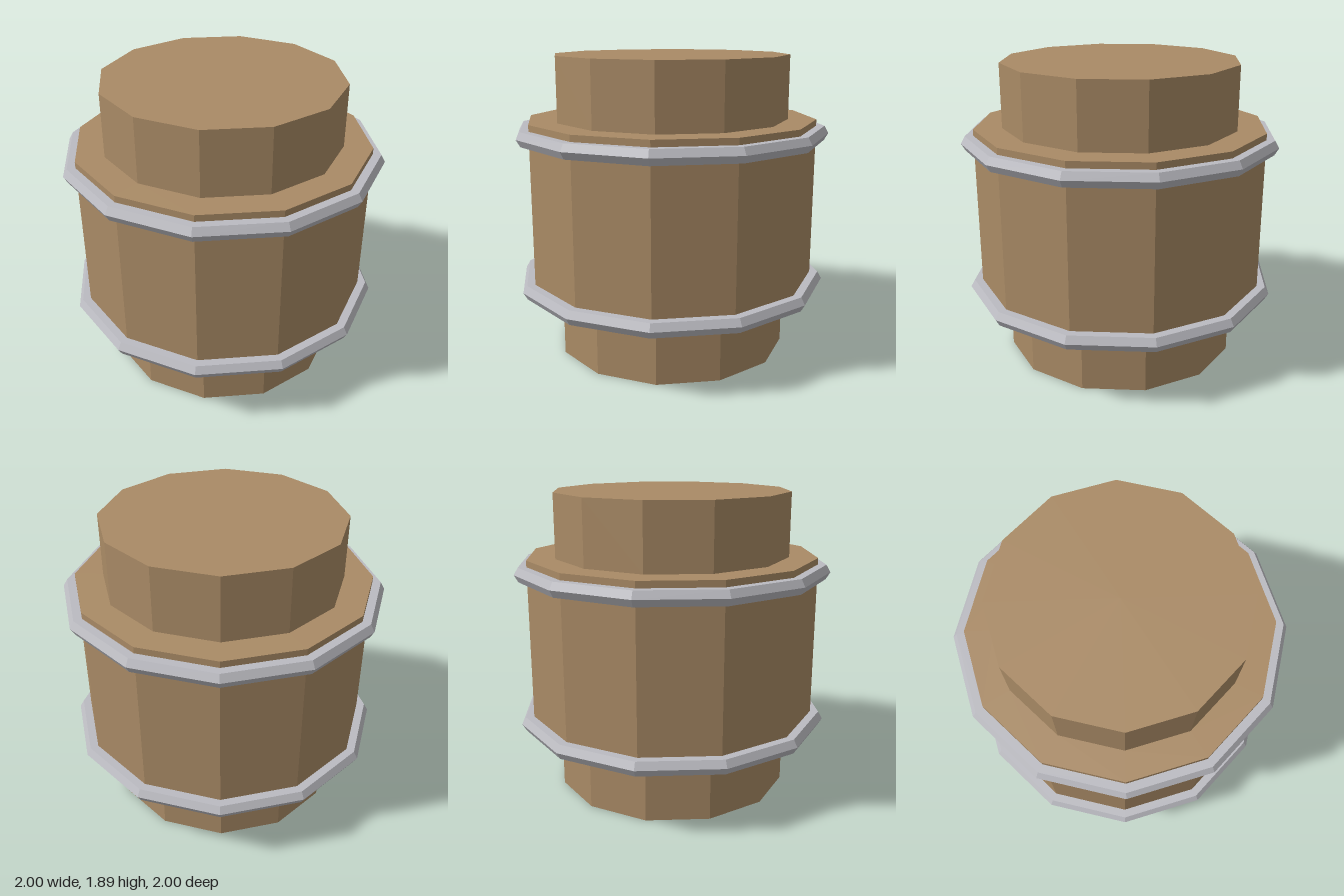
import * as THREE from 'three';

export function createModel() {
  const model = new THREE.Group();
  const wood = new THREE.MeshStandardMaterial({ color: 0xaa8b66, flatShading: true });
  wood.name = 'brown wood';
  const steel = new THREE.MeshStandardMaterial({ color: 0xbbbbc1, flatShading: true });
  steel.name = 'grey steel';
  const SIDES = 12;

  const add = (name, geometry, material, y) => {
    const mesh = new THREE.Mesh(geometry, material);
    mesh.name = name;
    mesh.position.y = y;
    model.add(mesh);
    return mesh;
  };

  // One stepped barrel: narrow foot, wide body, narrow neck
  const profile = [[0, 0], [0.745, 0], [0.745, 0.4], [0.922, 0.4], [0.922, 1.495],
    [0.745, 1.495], [0.745, 1.895], [0, 1.895]].map(([r, y]) => new THREE.Vector2(r, y));
  add('barrel', new THREE.LatheGeometry(profile, SIDES), wood, 0);

  // Hexagonal-section hoops around the body
  for (const [name, y] of [['lowerHoop', 0.445], ['upperHoop', 1.41]]) {
    const hoop = new THREE.TorusGeometry(0.948, 0.052, 6, SIDES).rotateX(-Math.PI / 2);
    add(name, hoop, steel, y);
  }
  return model;
}
